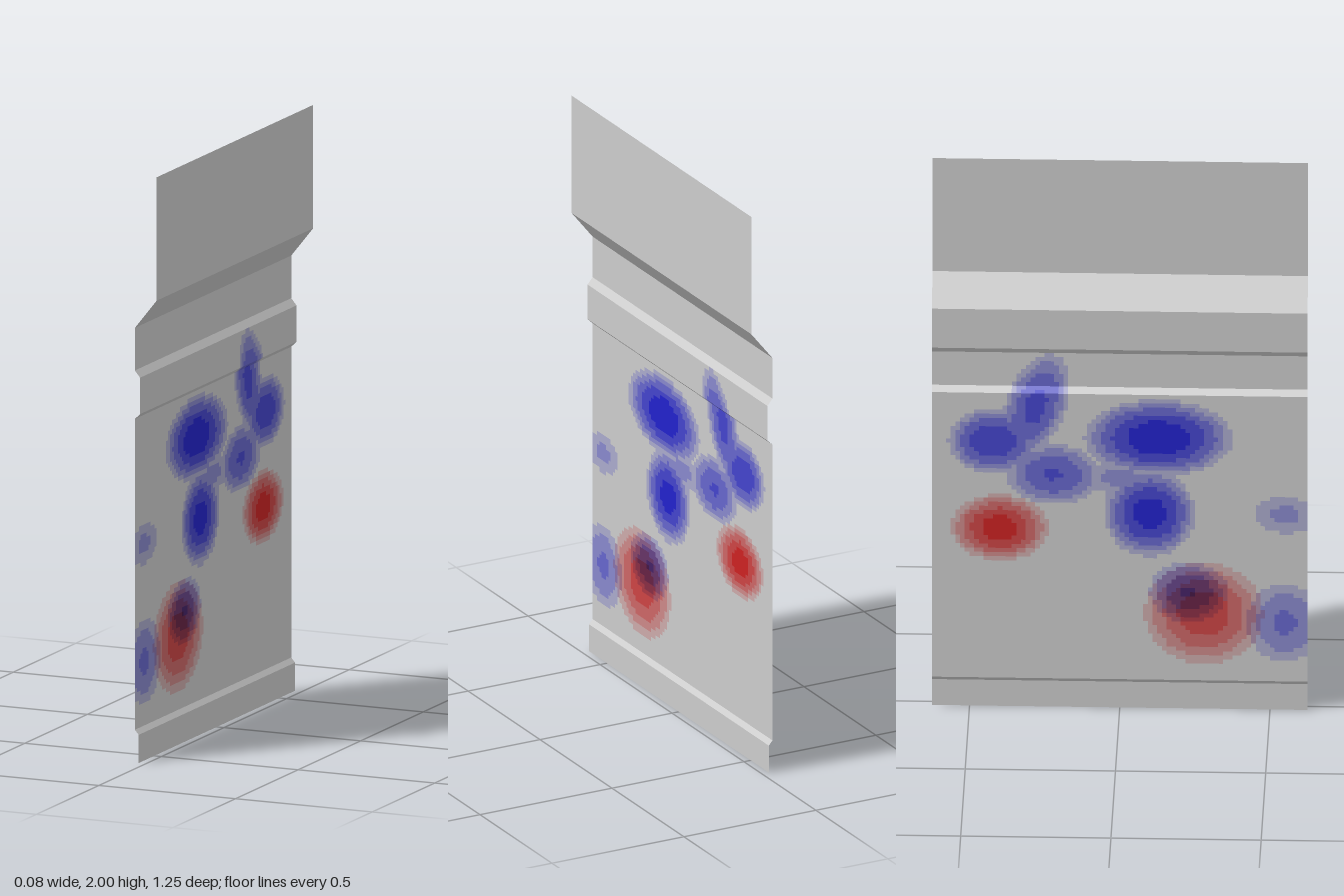
import * as THREE from 'three';

const HALF = 0.625;   // half the sheet's width along z
const CELL = 0.0156;  // size of a paint cell
const LEVELS = 6;     // shades per paint colour
const GREY = 0.8;

// Folded cross-section [x, y], from top to bottom
const profile = [
  [0.04, 2], [0.04, 1.58], [-0.04, 1.48], [-0.04, 1.335], [-0.021, 1.312],
  [-0.021, 1.188], [-0.04, 1.17], [-0.04, 0.112], [-0.026, 0.096], [-0.026, 0],
];

// Paint smudges: centre z, centre y, radius z, radius y, strength, lean
const blue = [
  [0.13, 1.01, 0.26, 0.15, 0.9, 0],
  [0.10, 0.73, 0.16, 0.17, 0.85, 0],
  [-0.22, 0.87, 0.17, 0.12, 0.6, 0],
  [-0.42, 0.99, 0.16, 0.13, 0.75, 0],
  [-0.28, 1.12, 0.11, 0.2, 0.65, 0.25],
  [0.55, 0.73, 0.12, 0.08, 0.3, 0],
  [0.55, 0.33, 0.14, 0.16, 0.45, 0],
  [0.23, 0.44, 0.14, 0.12, 0.6, 0],
  [0.0, 0.86, 0.16, 0.07, 0.3, 0],
];
const red = [
  [-0.40, 0.67, 0.17, 0.13, 0.85, 0],
  [0.28, 0.36, 0.21, 0.2, 0.7, 0],
];

// Quantised paint strength at a point on the sheet
function strength(smudges, z, y) {
  let best = 0;
  for (const [cz, cy, rz, ry, s, lean] of smudges) {
    const u = (z - cz - lean * (y - cy)) / rz, v = (y - cy) / ry;
    best = Math.max(best, s * (1 - u * u - v * v));
  }
  return Math.round(best * LEVELS) / LEVELS;
}

export function createModel() {
  const group = new THREE.Group();
  const patches = new Map();

  // Add one quad, seen from +x, to the patch that has its colour
  function addQuad(b, r, x0, y0, x1, y1, zA, zB) {
    const key = `${b},${r}`;
    if (!patches.has(key)) patches.set(key, { b, r, points: [] });
    patches.get(key).points.push(
      x0, y0, zA, x1, y1, zA, x1, y1, zB,
      x0, y0, zA, x1, y1, zB, x0, y0, zB);
  }

  // Sweep the cross-section along z; the lower panels are split into paint cells
  for (let i = 0; i < profile.length - 1; i++) {
    const [xa, ya] = profile[i], [xb, yb] = profile[i + 1];
    const painted = ya < 1.32 && ya > 0.2;
    const rows = painted ? Math.ceil((ya - yb) / CELL) : 1;
    const cols = painted ? Math.round(2 * HALF / CELL) : 1;
    for (let j = 0; j < rows; j++) {
      const s = j / rows, t = (j + 1) / rows;
      const x0 = xa + (xb - xa) * s, x1 = xa + (xb - xa) * t;
      const y0 = ya + (yb - ya) * s, y1 = ya + (yb - ya) * t;
      for (let k = 0; k < cols; k++) {
        const zA = HALF - 2 * HALF * k / cols, zB = HALF - 2 * HALF * (k + 1) / cols;
        const z = (zA + zB) / 2, y = (y0 + y1) / 2;
        addQuad(painted ? strength(blue, z, y) : 0, painted ? strength(red, z, y) : 0,
          x0, y0, x1, y1, zA, zB);
      }
    }
  }

  // One mesh per colour: the bare sheet and each shade of paint
  for (const { b, r, points } of patches.values()) {
    const geometry = new THREE.BufferGeometry();
    geometry.setAttribute('position', new THREE.Float32BufferAttribute(points, 3));
    geometry.computeVertexNormals();
    const material = new THREE.MeshStandardMaterial({ color: 0xcccccc, side: THREE.DoubleSide });
    if (b || r) {
      material.color.setRGB(GREY * (1 - b), GREY * (1 - b) * (1 - r), GREY * (1 - r), THREE.SRGBColorSpace);
    }
    const mesh = new THREE.Mesh(geometry, material);
    mesh.name = b && r ? 'purplePaint' : b ? 'bluePaint' : r ? 'redPaint' : 'foldedSheet';
    group.add(mesh);
  }
  return group;
}
